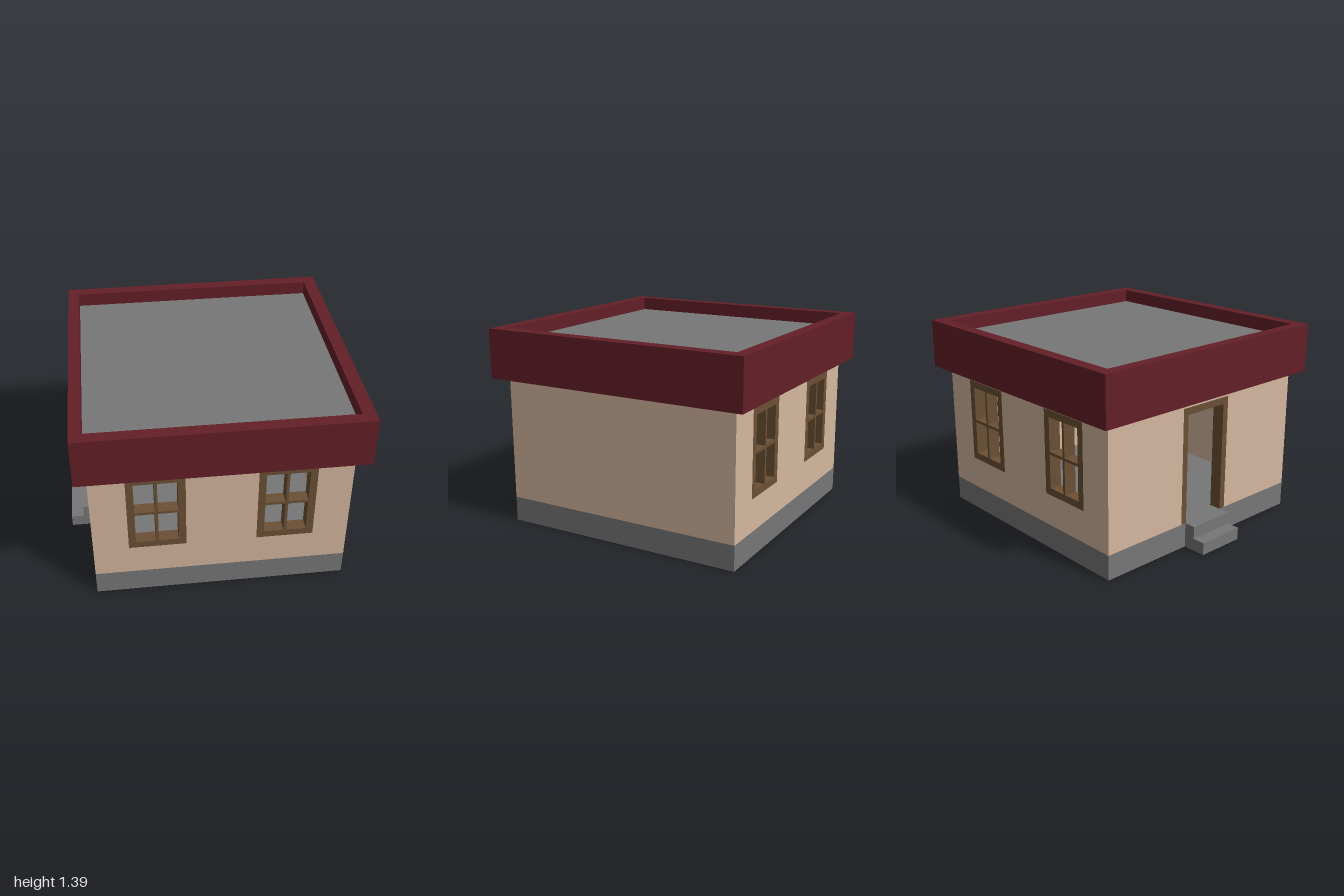
import * as THREE from 'three';

// main dimensions: wall block, wall thickness, floor, eaves
const X0 = -0.83, X1 = 0.91, Z = 0.87, T = 0.0875;
const FLOOR = 0.175, EAVES = 1.05, ROOF = 1.3, TOP = 1.395;

const material = (color) => new THREE.MeshStandardMaterial({ color, flatShading: true });

export function createModel() {
  const stone = material(0x777777);
  const plaster = material(0xd4b79f);
  const wood = material(0x6b5035);
  const red = material(0x641f28);
  const model = new THREE.Group();

  function box(parent, name, mat, x0, x1, y0, y1, z0, z1) {
    const mesh = new THREE.Mesh(new THREE.BoxGeometry(x1 - x0, y1 - y0, z1 - z0), mat);
    mesh.position.set((x0 + x1) / 2, (y0 + y1) / 2, (z0 + z1) / 2);
    mesh.name = name;
    parent.add(mesh);
    return mesh;
  }

  function rectangle(Type, x0, x1, y0, y1) {
    const r = new Type();
    r.moveTo(x0, y0);
    r.lineTo(x1, y0);
    r.lineTo(x1, y1);
    r.lineTo(x0, y1);
    r.closePath();
    return r;
  }

  // flat panel with rectangular openings, T thick along z
  function panel(name, mat, outer, openings) {
    const shape = rectangle(THREE.Shape, ...outer);
    openings.forEach((o) => shape.holes.push(rectangle(THREE.Path, ...o)));
    const geometry = new THREE.ExtrudeGeometry(shape, { depth: T, bevelEnabled: false });
    const mesh = new THREE.Mesh(geometry, mat);
    mesh.name = name;
    return mesh;
  }

  // plinth and entrance steps
  box(model, 'plinth', stone, X0, X1, 0, FLOOR, -Z, Z);
  box(model, 'upperStep', stone, -0.91, X0, 0, FLOOR, -0.175, 0.175);
  box(model, 'lowerStep', stone, -1, -0.91, 0, 0.0875, -0.175, 0.175);

  // front and back walls, each with two four-pane windows
  const windows = [[-0.59, -0.2, 0.4, 1], [0.28, 0.67, 0.4, 1]];
  for (const [side, z] of [['front', Z - T], ['back', -Z]]) {
    const wall = panel(side + 'Wall', plaster, [X0, X1, FLOOR, EAVES], windows);
    wall.position.z = z;
    model.add(wall);

    for (const [x0, x1, y0, y1] of windows) {
      const f = 0.05, m = 0.01;
      const cx = (x0 + x1) / 2, cy = (y0 + y1) / 2;
      const panes = [];
      for (const [a, b] of [[x0 + f, cx - m], [cx + m, x1 - f]]) {
        for (const [c, d] of [[y0 + f, cy - m], [cy + m, y1 - f]]) panes.push([a, b, c, d]);
      }
      const frame = panel(side + 'WindowFrame', wood, [x0, x1, y0, y1], panes);
      frame.position.z = z;
      model.add(frame);
    }
  }

  // plain left wall
  box(model, 'leftWall', plaster, X1 - T, X1, FLOOR, EAVES, -Z + T, Z - T);

  // right wall around the doorway
  const D = 0.215, doorTop = 1;
  const rightWall = new THREE.Group();
  rightWall.name = 'rightWall';
  model.add(rightWall);
  box(rightWall, 'wallBehindDoor', plaster, X0, X0 + T, FLOOR, EAVES, -Z + T, -D);
  box(rightWall, 'wallBeforeDoor', plaster, X0, X0 + T, FLOOR, EAVES, D, Z - T);
  box(rightWall, 'wallAboveDoor', plaster, X0, X0 + T, doorTop, EAVES, -D, D);

  // door frame
  const doorFrame = new THREE.Group();
  doorFrame.name = 'doorFrame';
  model.add(doorFrame);
  box(doorFrame, 'backJamb', wood, X0, X0 + T, FLOOR, doorTop, -D, -D + 0.045);
  box(doorFrame, 'frontJamb', wood, X0, X0 + T, FLOOR, doorTop, D - 0.045, D);
  box(doorFrame, 'lintel', wood, X0, X0 + T, doorTop - 0.05, doorTop, -D + 0.045, D - 0.045);

  // flat roof inside a raised red border
  box(model, 'roofSlab', stone, X0, X1, EAVES, ROOF, -Z, Z);
  const border = new THREE.Group();
  border.name = 'roofBorder';
  model.add(border);
  const ZO = 0.955;
  box(border, 'frontBorder', red, -0.91, 1, EAVES, TOP, Z, ZO);
  box(border, 'backBorder', red, -0.91, 1, EAVES, TOP, -ZO, -Z);
  box(border, 'leftBorder', red, X1, 1, EAVES, TOP, -Z, Z);
  box(border, 'rightBorder', red, -0.91, X0, EAVES, TOP, -Z, Z);

  return model;
}
